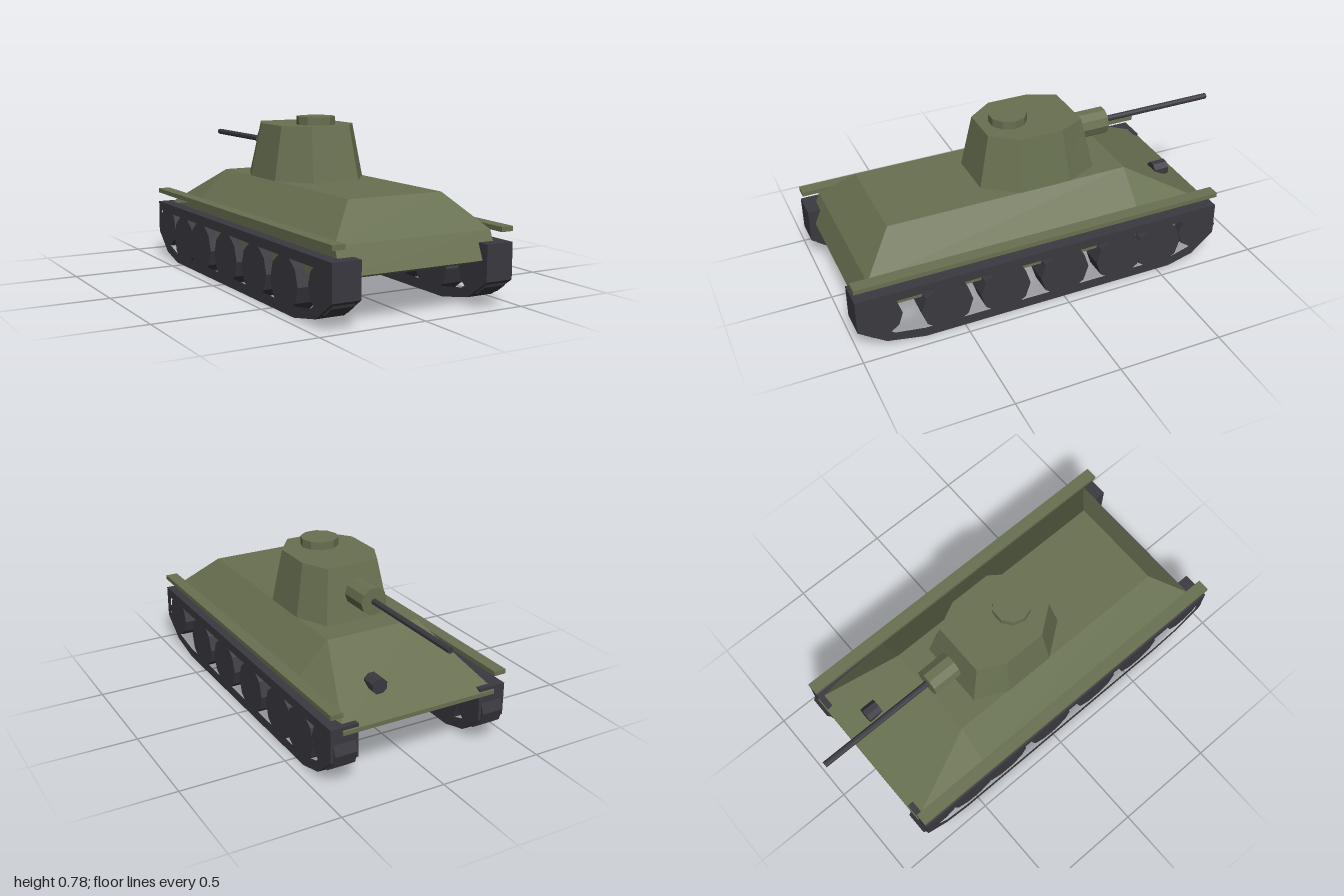
import * as THREE from 'three';

const olive = new THREE.MeshStandardMaterial({ color: 0x687050, flatShading: true });
olive.name = 'olive';
const charcoal = new THREE.MeshStandardMaterial({ color: 0x3a3940, flatShading: true });
charcoal.name = 'charcoal';

// Completes a ring from its +x half, listed rear to front
const ring = (half) => [...half, ...half.slice().reverse().map(([x, y, z]) => [-x, y, z])];

// Skins rings stacked from bottom to top and caps both ends
function loft(rings) {
  const pos = [];
  const tri = (a, b, c) => pos.push(...a, ...b, ...c);
  const n = rings[0].length;
  for (let r = 0; r < rings.length - 1; r++) {
    const a = rings[r], b = rings[r + 1];
    for (let i = 0; i < n; i++) {
      const j = (i + 1) % n;
      tri(a[i], a[j], b[j]);
      tri(a[i], b[j], b[i]);
    }
  }
  const low = rings[0], top = rings[rings.length - 1];
  for (let i = 1; i < n - 1; i++) {
    tri(low[0], low[i + 1], low[i]);
    tri(top[0], top[i], top[i + 1]);
  }
  const g = new THREE.BufferGeometry();
  g.setAttribute('position', new THREE.Float32BufferAttribute(pos, 3));
  g.computeVertexNormals();
  return g;
}

// Cylinder lying along z, with a corner pointing sideways
function cylinderZ(radius, z0, z1, sides) {
  const g = new THREE.CylinderGeometry(radius, radius, Math.abs(z1 - z0), sides);
  return g.rotateY(Math.PI / sides).rotateX(Math.PI / 2).translate(0, 0, (z0 + z1) / 2);
}

export function createModel() {
  const model = new THREE.Group();
  model.name = 'tank';
  const add = (name, geometry, material, x = 0, y = 0, z = 0, parent = model) => {
    const mesh = new THREE.Mesh(geometry, material);
    mesh.name = name;
    mesh.position.set(x, y, z);
    parent.add(mesh);
    return mesh;
  };

  // Hull: floor, lower edge, side edge, deck
  add('hull', loft([
    ring([[0.387, 0.18, 0.86], [0.387, 0.18, -0.41], [0.387, 0.18, -0.69]]),
    ring([[0.387, 0.215, 0.97], [0.387, 0.215, -0.41], [0.387, 0.25, -0.815]]),
    ring([[0.387, 0.335, 0.92], [0.387, 0.335, -0.41], [0.387, 0.27, -0.815]]),
    ring([[0.235, 0.49, 0.77], [0.235, 0.49, -0.41], [0.235, 0.49, -0.41]]),
  ]), olive);

  // Turret: tapered eight-sided block with a hatch
  add('turret', loft([
    ring([[0.12, 0.49, 0.28], [0.237, 0.49, 0.125], [0.237, 0.49, -0.125], [0.165, 0.49, -0.28]]),
    ring([[0.1, 0.742, 0.228], [0.192, 0.742, 0.105], [0.192, 0.742, -0.1], [0.13, 0.742, -0.228]]),
  ]), olive);
  const hatch = new THREE.CylinderGeometry(0.091, 0.091, 0.05, 10).rotateY(Math.PI / 10);
  add('hatch', hatch, olive, 0, 0.756, 0.088);

  // Gun
  add('mantlet', cylinderZ(0.066, -0.27, -0.415, 10), olive, 0, 0.627, 0);
  add('barrel', cylinderZ(0.0145, -0.4, -1, 8), charcoal, 0, 0.627, 0);

  // Headlamp on the front slope
  add('headlamp', cylinderZ(0.039, -0.625, -0.7, 8), charcoal, 0.14, 0.366, 0);

  // Track loop in (z, y), open in the middle
  const points = (list) => list.map(([z, y]) => new THREE.Vector2(z, y));
  const loop = new THREE.Shape(points([
    [1, 0.288], [1, 0.125], [0.87, 0.035], [0.69, 0], [-0.57, 0], [-0.7, 0.035], [-0.81, 0.13], [-0.81, 0.288],
  ]));
  loop.holes.push(new THREE.Path(points([
    [0.955, 0.243], [0.955, 0.155], [0.83, 0.07], [0.69, 0.048], [-0.57, 0.048], [-0.69, 0.085], [-0.77, 0.18], [-0.77, 0.243],
  ])));
  const trackGeometry = new THREE.ExtrudeGeometry(loop, { depth: 0.135, bevelEnabled: false })
    .translate(0, 0, -0.0675).rotateY(-Math.PI / 2);

  // Wheels turn about x: z, y, radius
  const wheels = [[0.89, 0.158, 0.104], [-0.724, 0.165, 0.102]];
  for (const z of [0.575, 0.29, -0.01, -0.3, -0.51]) wheels.push([z, 0.125, 0.123]);

  for (const side of [1, -1]) {
    const gear = new THREE.Group();
    gear.name = side > 0 ? 'leftRunningGear' : 'rightRunningGear';
    gear.position.x = side * 0.3775;
    model.add(gear);
    add('track', trackGeometry, charcoal, 0, 0, 0, gear);
    wheels.forEach(([z, y, r], i) => {
      const g = cylinderZ(r, -0.0535, 0.0535, 10).rotateY(Math.PI / 2);
      add(i < 2 ? 'endWheel' : 'roadWheel', g, charcoal, 0, y, z, gear);
    });
    // Fender strip above the track
    add('fender', new THREE.BoxGeometry(0.06, 0.022, 1.812), olive, side * 0.415, 0.346, 0.094);
  }
  return model;
}
